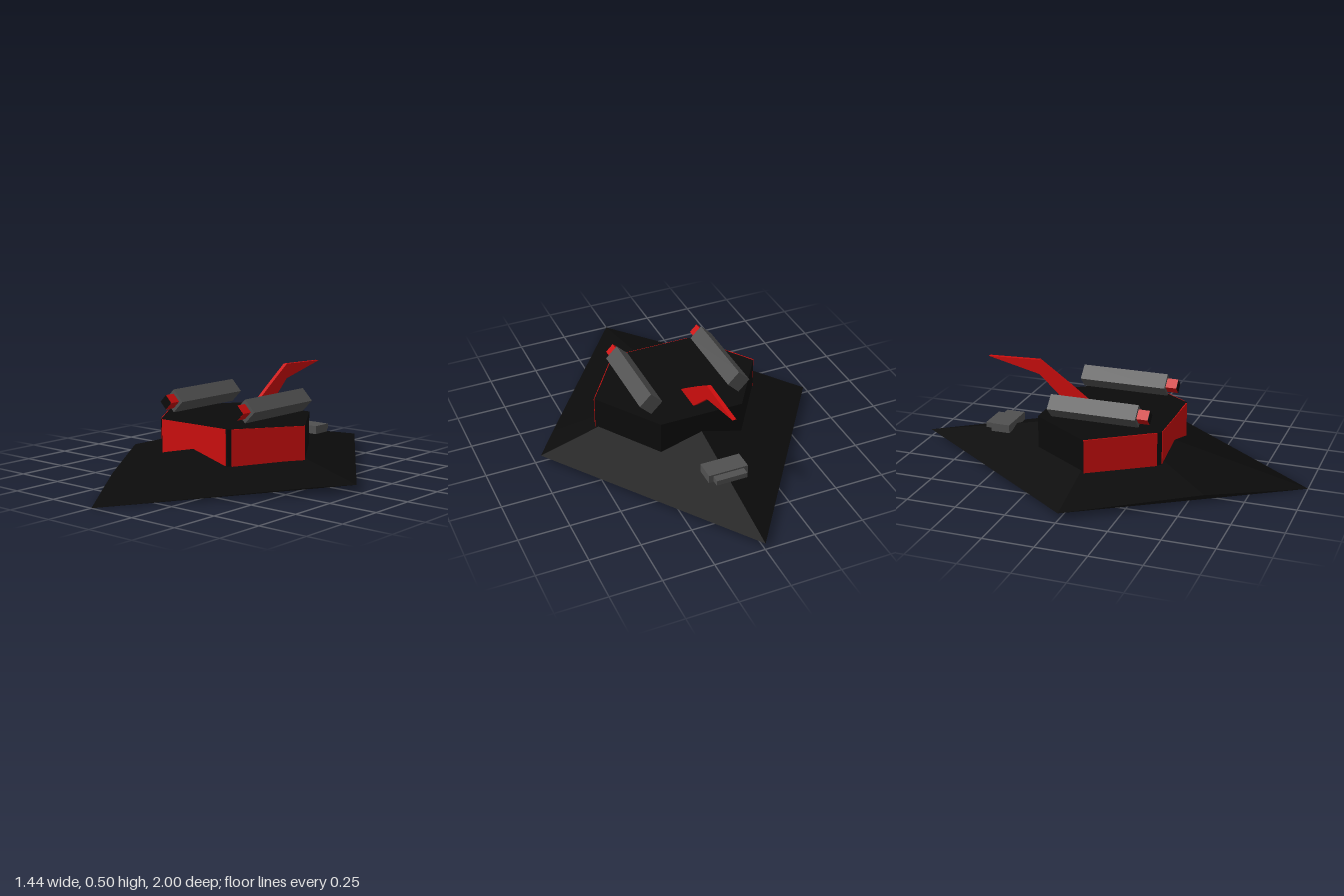
import * as THREE from 'three';

const paint = (color) => new THREE.MeshStandardMaterial({ color, flatShading: true });
const black = paint(0x0b0b0b), red = paint(0xcc0d0d), grey = paint(0x505050);

function add(parent, name, geometry, material, x = 0, y = 0, z = 0) {
  const mesh = new THREE.Mesh(geometry, material);
  mesh.name = name;
  mesh.position.set(x, y, z);
  parent.add(mesh);
  return mesh;
}

// Flat-based diamond rising to a shallow four-sided peak
function hullGeometry() {
  const apex = [0, 0.24, 0];
  const rim = [
    [0, 0, 1], [0.6, 0.035, 0.167], [0.72, 0.035, 0],
    [0, 0.035, -1], [-0.72, 0.035, 0], [-0.31, 0.035, 0.57],
  ];
  const points = [];
  rim.forEach((p, i) => {
    const q = rim[(i + 1) % rim.length];
    points.push(...apex, ...p, ...q);
    if (i > 0 && i < rim.length - 1) points.push(...rim[0], ...q, ...p);
  });
  const geometry = new THREE.BufferGeometry();
  geometry.setAttribute('position', new THREE.Float32BufferAttribute(points, 3));
  geometry.computeVertexNormals();
  return geometry;
}

function extrude(points, depth) {
  const shape = new THREE.Shape(points.map(([x, y]) => new THREE.Vector2(x, y)));
  return new THREE.ExtrudeGeometry(shape, { depth, bevelEnabled: false });
}

// Upright plate between two plan points (x, z)
function panel(parent, name, [x1, z1], [x2, z2]) {
  const length = Math.hypot(x2 - x1, z2 - z1);
  const plate = add(parent, name, new THREE.BoxGeometry(length, 0.192, 0.006), red,
    (x1 + x2) / 2, 0.184, (z1 + z2) / 2);
  plate.rotation.y = -Math.atan2(z2 - z1, x2 - x1);
}

export function createModel() {
  const model = new THREE.Group();
  model.name = 'hoverTank';

  add(model, 'hull', hullGeometry(), black);

  // Six-sided turret with red plates on its three front faces
  const turret = new THREE.Group();
  turret.name = 'turret';
  model.add(turret);
  const plan = [[0.212, -0.328], [0.428, -0.015], [0.212, 0.303],
    [-0.212, 0.303], [-0.428, -0.015], [-0.212, -0.328]];
  const body = add(turret, 'turretBody', extrude(plan, 0.2), black, 0, 0.08, 0);
  body.rotation.x = -Math.PI / 2;
  panel(turret, 'frontPanel', [-0.203, 0.328], [0.203, 0.328]);
  panel(turret, 'leftPanel', [0.225, 0.311], [0.428, 0.015]);
  panel(turret, 'rightPanel', [-0.428, 0.015], [-0.225, 0.311]);

  // Twin square guns turned on edge, with dark muzzles
  for (const side of [1, -1]) {
    const gun = new THREE.Group();
    gun.name = side > 0 ? 'leftGun' : 'rightGun';
    gun.position.set(side * 0.229, 0.353, 0);
    gun.rotation.z = Math.PI / 4;
    model.add(gun);
    add(gun, 'gunHousing', new THREE.BoxGeometry(0.081, 0.081, 0.445), grey, 0, 0, -0.003);
    add(gun, 'gunBarrel', new THREE.BoxGeometry(0.051, 0.051, 0.07), red, 0, 0, 0.24);
    add(gun, 'gunMuzzle', new THREE.BoxGeometry(0.05, 0.05, 0.002), black, 0, 0, 0.275);
  }

  // Thin swept fin, drawn as (-z, y) and turned to run backwards
  const fin = add(model, 'tailFin', extrude([[0.075, 0.28], [0.225, 0.28], [0.375, 0.42],
    [0.65, 0.485], [0.375, 0.495], [0.225, 0.39]], 0.02), red, -0.01, 0, 0);
  fin.rotation.y = Math.PI / 2;

  // Exhaust block near the stern
  add(model, 'exhaustBlock', new THREE.BoxGeometry(0.2, 0.042, 0.097), grey, 0, 0.139, -0.558);
  add(model, 'exhaustNozzle', new THREE.BoxGeometry(0.156, 0.026, 0.042), grey, 0, 0.139, -0.625);

  return model;
}
